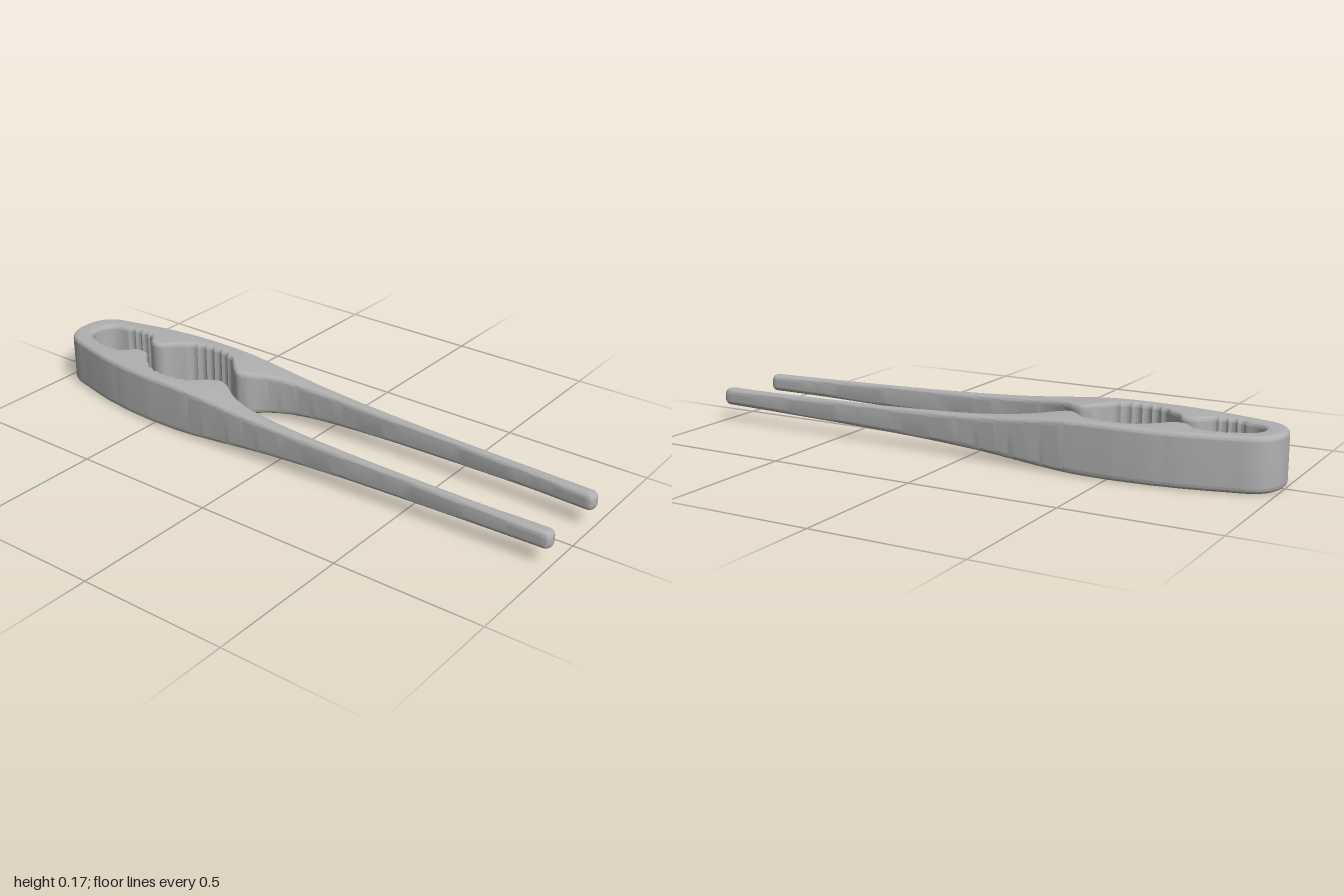
import * as THREE from 'three';
import { toCreasedNormals } from 'three/addons/utils/BufferGeometryUtils.js';

const MID = 0.0875;   // height of the centre plane
const SUB = 8;        // steps between stations

// stations from the closed end to the tip: outer x, outer z, inner x, inner z, half height
const HEAD = [
  [-1, 0, -0.93, 0, 0.0865],
  [-0.994, 0.045, -0.924, 0.028, 0.0865],
  [-0.972, 0.085, -0.908, 0.05, 0.0865],
  [-0.935, 0.111, -0.882, 0.064, 0.0865],
  [-0.87, 0.13, -0.85, 0.07, 0.0865],
  [-0.82, 0.143, -0.82, 0.076, 0.0865],
  [-0.79, 0.15, -0.79, 0.078, 0.0865],
  [-0.76, 0.157, -0.76, 0.076, 0.0865],
  [-0.73, 0.163, -0.73, 0.064, 0.0865],
  [-0.705, 0.167, -0.705, 0.038, 0.0865],
  [-0.68, 0.17, -0.68, 0.03, 0.0865],
  [-0.655, 0.174, -0.655, 0.036, 0.0865],
  [-0.63, 0.177, -0.63, 0.066, 0.0865],
  [-0.59, 0.18, -0.59, 0.096, 0.0865],
  [-0.555, 0.182, -0.555, 0.114, 0.0865],
  [-0.52, 0.184, -0.52, 0.122, 0.0865],
  [-0.485, 0.184, -0.485, 0.124, 0.0865],
  [-0.45, 0.184, -0.45, 0.122, 0.0863],
  [-0.415, 0.184, -0.415, 0.113, 0.0858],
];
const ARM = [
  [-0.38, 0.184, -0.38, 0.095, 0.0845],
  [-0.34, 0.183, -0.34, 0.056, 0.0825],
  [-0.31, 0.182, -0.31, 0.039, 0.0805],
  [-0.28, 0.181, -0.28, 0.046, 0.078],
  [-0.22, 0.18, -0.22, 0.084, 0.0725],
  [-0.15, 0.178, -0.15, 0.108, 0.066],
  [-0.05, 0.174, -0.05, 0.121, 0.058],
  [0.1, 0.169, 0.1, 0.126, 0.05],
  [0.3, 0.163, 0.3, 0.128, 0.043],
  [0.5, 0.159, 0.5, 0.127, 0.038],
  [0.8, 0.157, 0.8, 0.12, 0.032],
  [0.9, 0.157, 0.9, 0.113, 0.03],
  [0.98, 0.156, 0.98, 0.109, 0.029],
];
const HALF = [...HEAD, ...ARM];
// intervals whose inner wall carries a gripping groove
const isTooth = (i) => (i >= 4 && i < 8) || (i >= 13 && i < 19);

// rounded rectangle across the bar, from the outer wall to the inner wall
function section(outer, inner, h, inset) {
  const dir = inner.clone().sub(outer);
  const w = dir.length() - 2 * inset, hh = h - inset;
  dir.normalize();
  const r = Math.min(0.016, 0.45 * w, 0.9 * hh);
  const pad = Math.min(0.004, 0.25 * (w - 2 * r), 0.5 * (hh - r));
  const pts = [];
  const put = (a, y) => pts.push([outer.x + dir.x * (a + inset), MID + y, outer.z + dir.z * (a + inset)]);
  const corners = [[r, r - hh, -Math.PI / 2], [r, hh - r, Math.PI], [w - r, hh - r, Math.PI / 2], [w - r, r - hh, 0]];
  for (const [a, y, start] of corners) {
    const e = start - Math.PI / 2;
    put(a + r * Math.cos(start) + pad * Math.cos(e + Math.PI), y + r * Math.sin(start) + pad * Math.sin(e + Math.PI));
    for (let k = 0; k <= 5; k++) {
      const t = start - (k / 5) * Math.PI / 2;
      put(a + r * Math.cos(t), y + r * Math.sin(t));
    }
    // short flat run after the corner keeps the walls evenly shaded
    put(a + r * Math.cos(e) + pad * Math.cos(e - Math.PI / 2), y + r * Math.sin(e) + pad * Math.sin(e - Math.PI / 2));
  }
  // lead-in points sit on the wall before each corner
  for (let c = 0; c < 4; c++) {
    const [a, y, start] = corners[c];
    const back = start + Math.PI / 2;
    const i = c * 8, da = a + r * Math.cos(start) + pad * Math.cos(back), dy = y + r * Math.sin(start) + pad * Math.sin(back);
    pts[i] = [outer.x + dir.x * (da + inset), MID + dy, outer.z + dir.z * (da + inset)];
  }
  return pts;
}

// all sections of one side, closed end first
function sideSections() {
  const mirror = HALF.slice(1, 3).reverse().map(([a, b, c, d, h]) => [a, -b, c, -d, h]);
  const all = [...mirror, ...HALF];
  const outerCurve = new THREE.CatmullRomCurve3(all.map(([x, z, , , h]) => new THREE.Vector3(x, h, z)));
  const innerCurve = new THREE.CatmullRomCurve3(all.map(([, , x, z]) => new THREE.Vector3(x, 0, z)));
  const n = all.length - 1, last = HALF.length - 1, rings = [];
  for (let s = 0; s <= last * SUB; s++) {
    const t = (2 + s / SUB) / n;
    const outer = outerCurve.getPoint(t), inner = innerCurve.getPoint(t), h = outer.y;
    outer.y = 0;
    if (isTooth(Math.floor(s / SUB))) inner.z += 0.006 * Math.sin(Math.PI * (s % SUB) / SUB);
    rings.push(section(outer, inner, h, 0));
  }
  // rounded tip
  const [ox, oz, ix, iz, h] = HALF[last];
  for (let k = 1; k <= 6; k++) {
    const a = (k / 6) * Math.PI / 2, dx = 0.02 * Math.sin(a);
    rings.push(section(new THREE.Vector3(ox + dx, 0, oz), new THREE.Vector3(ix + dx, 0, iz), h, 0.018 * (1 - Math.cos(a))));
  }
  return rings;
}

function barGeometry() {
  const side = sideSections();
  const flipped = side.slice(1).reverse().map((ring) => ring.map(([x, y, z]) => [x, y, -z]));
  const rings = [...flipped, ...side];
  const m = rings[0].length, pos = rings.flat(2), index = [];
  for (let i = 0; i < rings.length - 1; i++) {
    for (let j = 0; j < m; j++) {
      const a = i * m + j, b = i * m + (j + 1) % m;
      index.push(a, a + m, b, b, a + m, b + m);
    }
  }
  // flat caps on both tips
  const end = (rings.length - 1) * m;
  for (let j = 1; j < m - 1; j++) {
    index.push(0, j, j + 1);
    index.push(end, end + j + 1, end + j);
  }
  const geo = new THREE.BufferGeometry();
  geo.setAttribute('position', new THREE.Float32BufferAttribute(pos, 3));
  geo.setIndex(index);
  return toCreasedNormals(geo, 0.55);
}

export function createModel() {
  const group = new THREE.Group();
  group.name = 'nutcracker';
  const grey = new THREE.MeshStandardMaterial({ color: 0xb0b0b0 });
  grey.name = 'grey';
  const body = new THREE.Mesh(barGeometry(), grey);
  body.name = 'sprungBody';
  group.add(body);
  return group;
}
